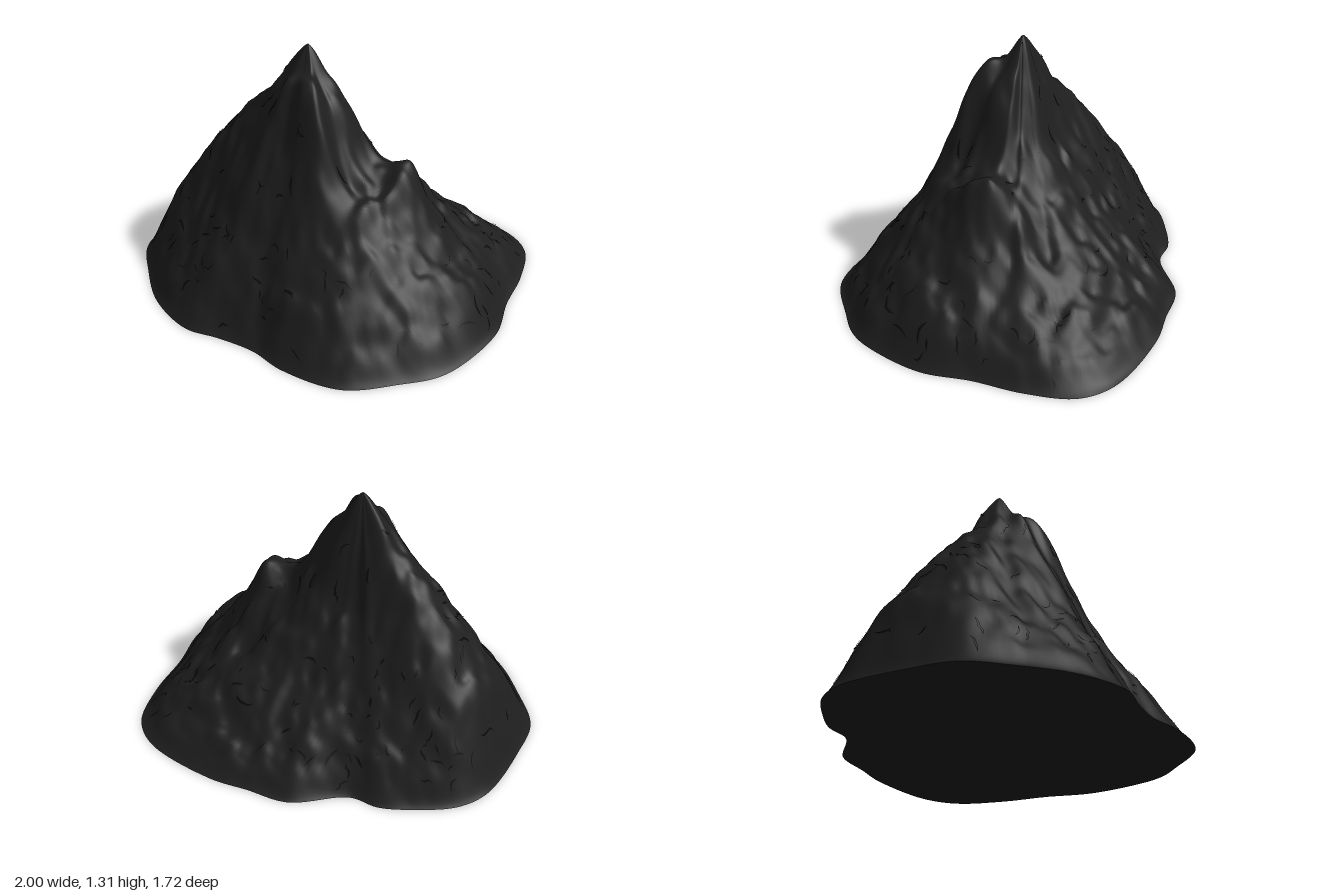
import * as THREE from 'three';

// Base outline as x, z pairs, turning from +x towards +z
const OUTLINE = [
  [0.995, 0], [0.97, 0.33], [0.92, 0.46], [0.82, 0.58], [0.61, 0.78], [0.3, 0.83], [0.1, 0.8], [-0.1, 0.82],
  [-0.28, 0.855], [-0.55, 0.77], [-0.77, 0.6], [-0.94, 0.42], [-0.985, 0.2], [-0.995, -0.15], [-0.92, -0.31],
  [-0.75, -0.45], [-0.6, -0.535], [-0.45, -0.56], [-0.22, -0.76], [0, -0.81], [0.2, -0.855], [0.6, -0.84], [0.77, -0.735],
  [0.87, -0.5], [0.92, -0.25],
];
const PEAK = { x: -0.08, z: 0.08 };

// Direction in degrees (from +x towards +z) and heights from summit to foot
const SHOULDER = [1.31, 1.16, 1.02, 0.83, 0.74, 0.755, 0.56, 0.39, 0.3, 0.17, 0];
const SLOPES = [
  { angle: -14, heights: SHOULDER },
  { angle: 20, heights: [1.31, 1.16, 1.02, 0.81, 0.68, 0.61, 0.49, 0.37, 0.27, 0.14, 0] }, // gully
  { angle: 48, heights: [1.31, 1.2, 1.18, 1.02, 0.78, 0.57, 0.43, 0.32, 0.21, 0.1, 0] }, // second summit
  { angle: 90, heights: [1.31, 1.21, 1.14, 0.98, 0.84, 0.69, 0.51, 0.38, 0.25, 0.1, 0] },
  { angle: 135, heights: [1.31, 1.2, 1.06, 0.92, 0.78, 0.64, 0.5, 0.37, 0.25, 0.13, 0] },
  { angle: 180, heights: [1.31, 1.21, 1.08, 0.98, 0.89, 0.78, 0.69, 0.54, 0.43, 0.21, 0] },
  { angle: 225, heights: [1.31, 1.12, 0.93, 0.77, 0.65, 0.55, 0.44, 0.33, 0.22, 0.1, 0] },
  { angle: 270, heights: [1.31, 1.08, 0.8, 0.67, 0.53, 0.42, 0.34, 0.26, 0.17, 0.08, 0] },
  { angle: 315, heights: [1.31, 1.08, 0.82, 0.66, 0.53, 0.42, 0.35, 0.26, 0.17, 0.09, 0] },
  { angle: 332, heights: [1.31, 1.11, 0.91, 0.75, 0.67, 0.62, 0.46, 0.33, 0.24, 0.13, 0] },
  { angle: 346, heights: SHOULDER },
];

const foot = new THREE.CatmullRomCurve3(OUTLINE.map(([x, z]) => new THREE.Vector3(x, 0, z)), true);

let seed = 7;
const random = () => {
  seed = (seed * 16807) % 2147483647;
  return seed / 2147483647;
};

// Smooth value noise on a grid
function hash(i, j) {
  const s = Math.sin(i * 127.1 + j * 311.7) * 43758.5453;
  return s - Math.floor(s);
}
function noise(x, z) {
  const i = Math.floor(x), j = Math.floor(z);
  const a = THREE.MathUtils.smoothstep(x - i, 0, 1), b = THREE.MathUtils.smoothstep(z - j, 0, 1);
  const { lerp } = THREE.MathUtils;
  return lerp(lerp(hash(i, j), hash(i + 1, j), a), lerp(hash(i, j + 1), hash(i + 1, j + 1), a), b) - 0.5;
}

function slopeHeight({ heights: s }, t) {
  const k = Math.min(Math.floor(t * 10), 9), f = t * 10 - k;
  const p = [s[Math.max(k - 1, 0)], s[k], s[k + 1], s[Math.min(k + 2, 10)]];
  return p[1] + 0.5 * f * (p[2] - p[0] + f * (2 * p[0] - 5 * p[1] + 4 * p[2] - p[3] + f * (3 * (p[1] - p[2]) + p[3] - p[0])));
}

// Point on the mountain: u runs around the foot, t runs from summit to foot
function surface(u, t) {
  const f = foot.getPoint(((u % 1) + 1) % 1);
  const dx = f.x - PEAK.x, dz = f.z - PEAK.z;
  const x = PEAK.x + dx * t, z = PEAK.z + dz * t;
  let angle = THREE.MathUtils.radToDeg(Math.atan2(dz, dx));
  if (angle < SLOPES[0].angle) angle += 360;
  const next = Math.max(1, SLOPES.findIndex((s) => s.angle >= angle));
  const from = SLOPES[next - 1], to = SLOPES[next];
  const mix = THREE.MathUtils.smoothstep(angle, from.angle, to.angle);
  let y = THREE.MathUtils.lerp(slopeHeight(from, t), slopeHeight(to, t), mix);
  const fade = Math.min(1, t * 6, (1 - t) * 6);
  y += fade * (0.04 * noise(x * 8 + 20, z * 8 + 20) + 0.035 * noise(x * 18 + 50, z * 18 + 50));
  return new THREE.Vector3(x, Math.max(y, 0), z);
}

function surfaceNormal(u, t) {
  const du = surface(u + 0.004, t).sub(surface(u - 0.004, t));
  const dt = surface(u, t + 0.01).sub(surface(u, t - 0.01));
  return du.cross(dt).normalize();
}

function buildGeometry(positions, indices) {
  const g = new THREE.BufferGeometry();
  g.setAttribute('position', new THREE.Float32BufferAttribute(positions, 3));
  g.setIndex(indices);
  g.computeVertexNormals();
  return g;
}

// Rings of vertices from the summit down to the foot
function slopesGeometry(around, rings) {
  const positions = [], indices = [];
  for (let r = 0; r <= rings; r++) {
    for (let i = 0; i < around; i++) positions.push(...surface(i / around, r / rings).toArray());
  }
  for (let r = 0; r < rings; r++) {
    for (let i = 0; i < around; i++) {
      const a = r * around + i, b = r * around + ((i + 1) % around), c = a + around, d = b + around;
      if (r > 0) indices.push(a, b, c);
      indices.push(b, d, c);
    }
  }
  return buildGeometry(positions, indices);
}

// Flat underside as a fan facing down
function undersideGeometry(around) {
  const positions = [0, 0, 0], indices = [];
  for (let i = 0; i < around; i++) {
    positions.push(...foot.getPoint(i / around).toArray());
    indices.push(0, 1 + i, 1 + ((i + 1) % around));
  }
  return buildGeometry(positions, indices);
}

// Short, tapering fissures that hug the slopes
function cracksGeometry(count) {
  const positions = [], indices = [];
  for (let c = 0; c < count; c++) {
    let u = random(), t = 0.12 + 0.83 * Math.sqrt(random());
    let heading = random() * Math.PI * 2;
    const steps = 2 + Math.floor(random() * 3), width = 0.003 + random() * 0.005;
    for (let s = 0; s <= steps; s++) {
      t = THREE.MathUtils.clamp(t, 0.05, 0.97);
      const n = surfaceNormal(u, t), p = surface(u, t).addScaledVector(n, 0.004);
      const nu = u + (Math.cos(heading) * 0.018) / (5.5 * t), nt = t + Math.sin(heading) * 0.015;
      const side = surface(nu, nt).sub(surface(u, t)).cross(n).normalize();
      const w = width * Math.sin((Math.PI * (s + 0.3)) / (steps + 0.6));
      positions.push(...p.clone().addScaledVector(side, w).toArray(), ...p.clone().addScaledVector(side, -w).toArray());
      if (s < steps) {
        const k = positions.length / 3 - 2;
        indices.push(k, k + 2, k + 1, k + 1, k + 2, k + 3);
      }
      u = nu;
      t = nt;
      heading += (random() - 0.5) * 1.8;
    }
  }
  return buildGeometry(positions, indices);
}

export function createModel() {
  const rock = new THREE.MeshStandardMaterial({ color: 0x1e1e1e });
  rock.name = 'darkRock';
  const fissure = new THREE.MeshStandardMaterial({ color: 0x0a0a0a, side: THREE.DoubleSide });
  fissure.name = 'fissureBlack';

  const mountain = new THREE.Group();
  mountain.name = 'mountain';
  const add = (name, geometry, material) => {
    const mesh = new THREE.Mesh(geometry, material);
    mesh.name = name;
    mountain.add(mesh);
  };
  add('slopes', slopesGeometry(240, 90), rock);
  add('underside', undersideGeometry(240), rock);
  add('cracks', cracksGeometry(170), fissure);
  return mountain;
}
